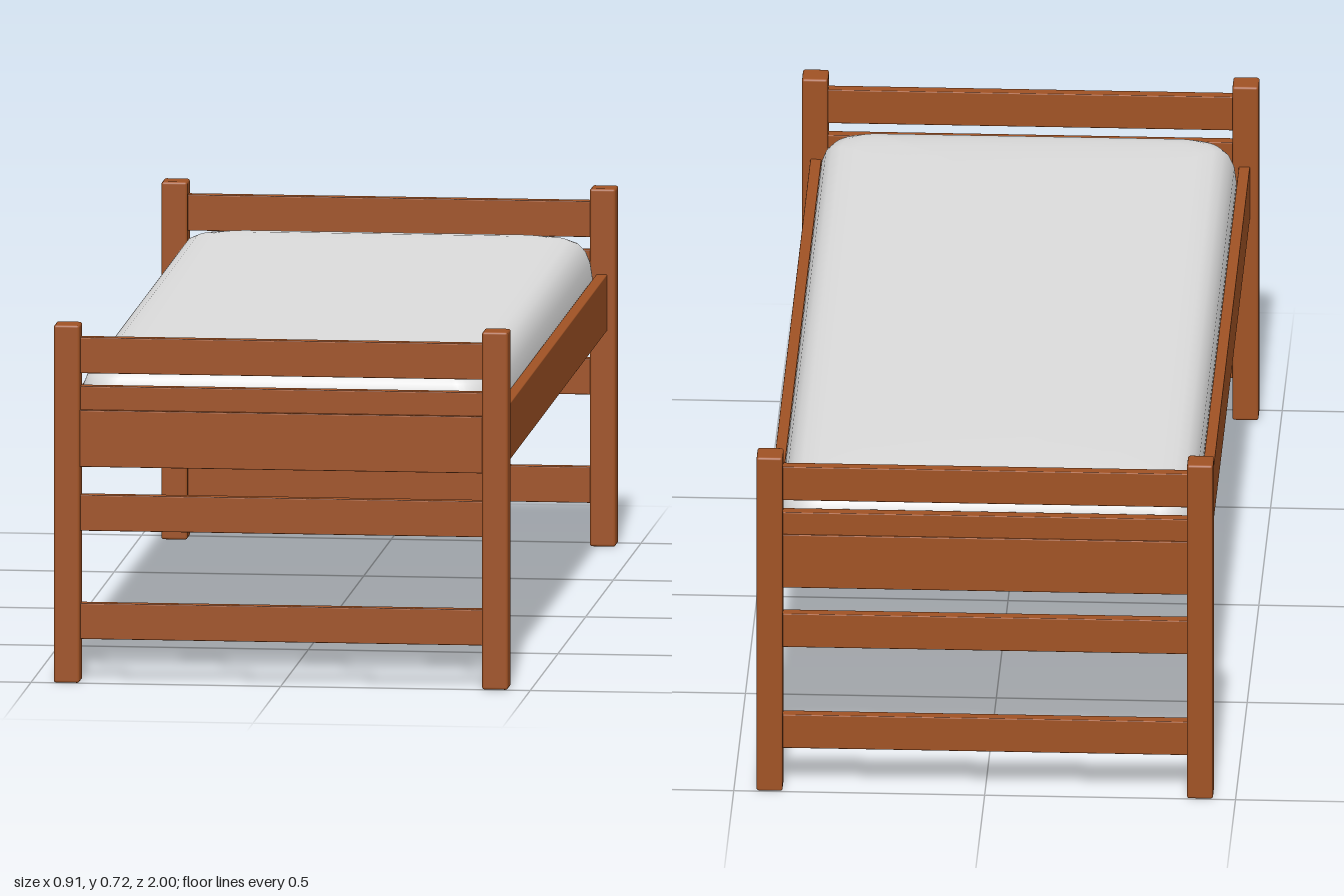
import * as THREE from 'three';
import { RoundedBoxGeometry } from 'three/addons/geometries/RoundedBoxGeometry.js';

const wood = new THREE.MeshStandardMaterial({ color: 0xa05224 });
wood.name = 'warm wood';
const fabric = new THREE.MeshStandardMaterial({ color: 0xdcdcdc });
fabric.name = 'mattress fabric';

// Wooden piece given by its min and max on each axis, with slightly eased edges
function board(name, [x0, x1], [y0, y1], [z0, z1], ease = 0.002) {
  const geometry = new RoundedBoxGeometry(x1 - x0, y1 - y0, z1 - z0, 2, ease);
  const mesh = new THREE.Mesh(geometry, wood);
  mesh.position.set((x0 + x1) / 2, (y0 + y1) / 2, (z0 + z1) / 2);
  mesh.name = name;
  return mesh;
}

// Soft mattress: stacked rounded rectangles, each inset by a profile
function mattressGeometry(halfW, halfL, profile) {
  const steps = 10, per = 4 * (steps + 1);
  const pos = [], index = [];
  for (const [inset, y] of profile) {
    const w = halfW - inset, l = halfL - inset;
    const r = Math.min(0.07, w * 0.5);
    for (let c = 0; c < 4; c++) {
      const sx = c === 0 || c === 3 ? 1 : -1;
      const sz = c < 2 ? 1 : -1;
      for (let i = 0; i <= steps; i++) {
        const a = (c + i / steps) * Math.PI / 2;
        pos.push(sx * (w - r) + r * Math.cos(a), y, sz * (l - r) + r * Math.sin(a));
      }
    }
  }
  for (let k = 0; k < profile.length - 1; k++) {
    for (let i = 0; i < per; i++) {
      const a = k * per + i, b = k * per + (i + 1) % per;
      index.push(a, a + per, b, b, a + per, b + per);
    }
  }
  // Close the bottom and the top
  const last = (profile.length - 1) * per, centre = pos.length / 3;
  pos.push(0, profile[0][1], 0, 0, profile[profile.length - 1][1], 0);
  for (let i = 0; i < per; i++) {
    const j = (i + 1) % per;
    index.push(centre, i, j, centre + 1, last + j, last + i);
  }
  const geometry = new THREE.BufferGeometry();
  geometry.setAttribute('position', new THREE.Float32BufferAttribute(pos, 3));
  geometry.setIndex(index);
  geometry.computeVertexNormals();
  return geometry;
}

export function createModel() {
  const bed = new THREE.Group();
  bed.name = 'bed';

  // Two end frames: posts, four cross rails and a deep outer board
  const span = [-0.41, 0.41];
  for (const s of [1, -1]) {
    const end = new THREE.Group();
    end.name = s > 0 ? 'footEnd' : 'headEnd';
    const depth = (a, b) => (s > 0 ? [a, b] : [-b, -a]);
    for (const x of [-1, 1]) {
      const across = x > 0 ? [0.403, 0.455] : [-0.455, -0.403];
      end.add(board('post', across, [0, 0.72], depth(0.945, 1), 0.005));
    }
    for (const y of [0.086, 0.304, 0.523, 0.621]) {
      end.add(board('crossRail', span, [y, y + 0.072], depth(0.957, 0.981)));
    }
    end.add(board('endBoard', span, [0.434, 0.548], depth(0.962, s > 0 ? 0.991 : 0.985)));
    bed.add(end);
  }

  // Side rails with a ledger strip inside each
  for (const s of [1, -1]) {
    const across = (a, b) => (s > 0 ? [a, b] : [-b, -a]);
    bed.add(board('sideRail', across(0.416, 0.438), [0.434, 0.548], [-0.95, 0.95]));
    bed.add(board('ledgerStrip', across(0.395, 0.417), [0.438, 0.46], [-0.945, 0.945]));
  }

  // Slats
  for (let i = 0; i < 8; i++) {
    const z = -0.87 + i * 0.2486;
    bed.add(board('slat', [-0.415, 0.415], [0.46, 0.478], [z - 0.06, z + 0.06]));
  }

  // Mattress
  const profile = [
    [0.3, 0.478], [0.05, 0.479], [0.02, 0.485], [0.005, 0.5], [0, 0.525], [0.001, 0.55],
    [0.005, 0.58], [0.013, 0.602], [0.026, 0.619], [0.045, 0.629], [0.075, 0.635],
    [0.12, 0.639], [0.18, 0.641], [0.3, 0.642],
  ];
  const mattress = new THREE.Mesh(mattressGeometry(0.416, 0.946, profile), fabric);
  mattress.position.z = -0.011;
  mattress.name = 'mattress';
  bed.add(mattress);

  return bed;
}
